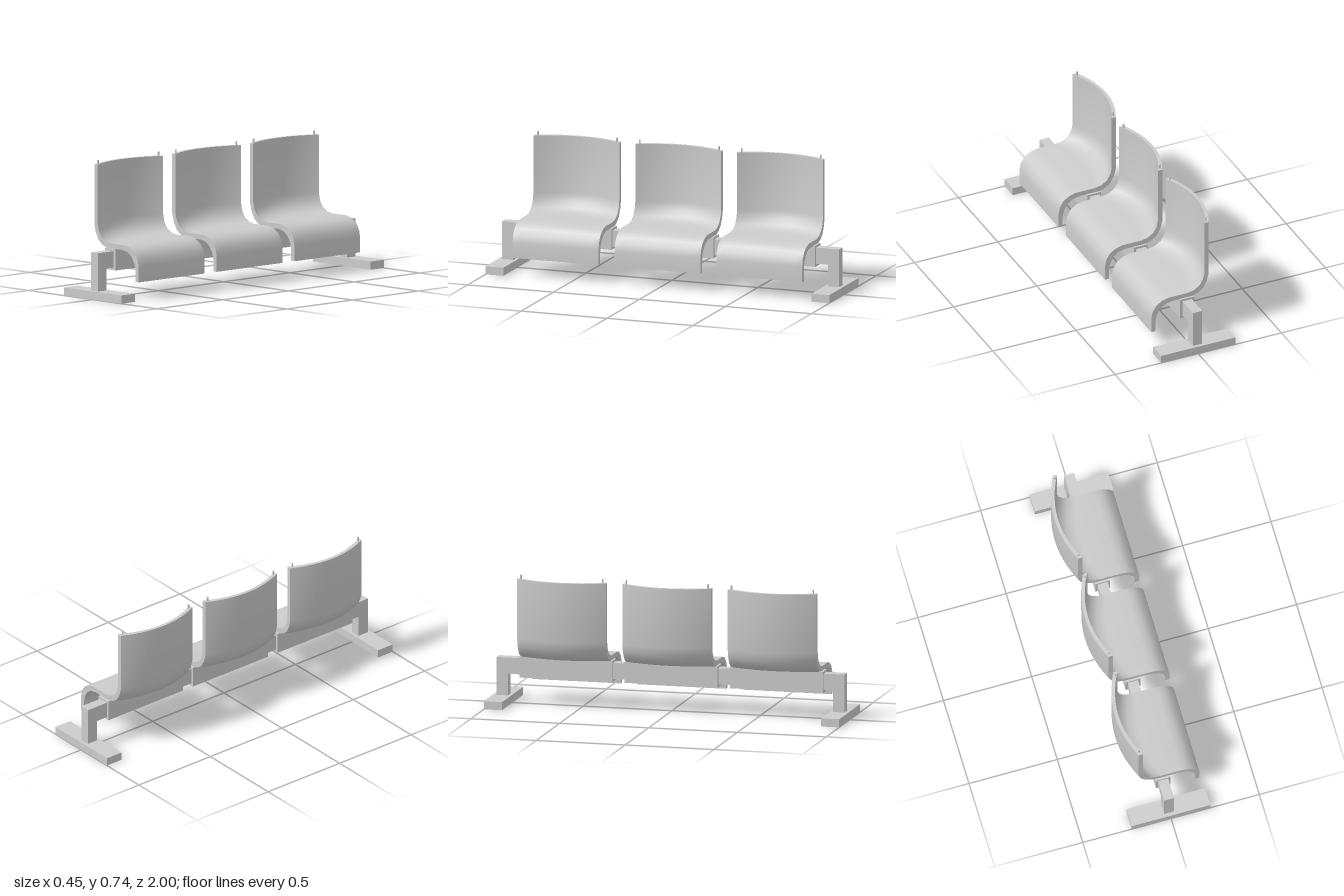
import * as THREE from 'three';
import { toCreasedNormals } from 'three/addons/utils/BufferGeometryUtils.js';

const material = new THREE.MeshStandardMaterial({ color: 0xcccccc });

// Seat shell side profile [x, y] from the top of the back to the front lip
const UPPER = [[-0.115, 0.715], [-0.115, 0.395], [-0.106, 0.355], [-0.085, 0.322], [-0.05, 0.3], [-0.01, 0.293],
  [0.1, 0.293], [0.14, 0.283], [0.175, 0.26], [0.197, 0.225], [0.205, 0.185], [0.205, 0.1]];
const LOWER = [[-0.14, 0.715], [-0.14, 0.385], [-0.128, 0.34], [-0.105, 0.3], [-0.075, 0.278], [-0.04, 0.266],
  [0.08, 0.266], [0.12, 0.257], [0.15, 0.235], [0.172, 0.2], [0.18, 0.16], [0.18, 0.1]];
// How strongly each profile point bows backwards in the middle of the seat
const BOW = [1, 1, 1, 1, 0.95, 0.8, 0, 0, 0, 0, 0, 0];
const HALF = 0.25;

function shellPoint(side, i, z) {
  const [x, y] = side[i];
  const depth = side === UPPER ? 0.067 : 0.06;
  return new THREE.Vector3(x - depth * BOW[i] * (1 - (z / HALF) ** 2), y, z);
}

// Closed shell: profile loops swept across the width, capped at both sides
function shellGeometry() {
  const n = UPPER.length, ring = 2 * n, slices = 12;
  const pos = [], idx = [];
  for (let s = 0; s <= slices; s++) {
    const z = -HALF + (2 * HALF * s) / slices;
    for (let i = 0; i < n; i++) pos.push(...shellPoint(UPPER, i, z).toArray());
    for (let i = n - 1; i >= 0; i--) pos.push(...shellPoint(LOWER, i, z).toArray());
  }
  for (let s = 0; s < slices; s++) {
    for (let i = 0; i < ring; i++) {
      const j = (i + 1) % ring, a = s * ring, b = a + ring;
      idx.push(a + i, b + i, b + j, a + i, b + j, a + j);
    }
  }
  const e = slices * ring;
  for (let i = 0; i < n - 1; i++) {
    const u = i, v = i + 1, lu = ring - 1 - i, lv = ring - 2 - i;
    idx.push(e + u, e + lu, e + lv, e + u, e + lv, e + v);
    idx.push(u, lv, lu, u, v, lv);
  }
  const g = new THREE.BufferGeometry();
  g.setAttribute('position', new THREE.Float32BufferAttribute(pos, 3));
  g.setIndex(idx);
  return toCreasedNormals(g, 0.7);
}

// Edge rod that follows the shell, with a pin standing out at the top
function rodGeometry(z) {
  const n = UPPER.length;
  const path = UPPER.map((_, i) =>
    shellPoint(UPPER, i, z).lerp(shellPoint(LOWER, i, z), 0.3 + (0.65 * i) / (n - 1)));
  path[n - 1].y = 0.113;
  path.unshift(path[0].clone().setY(0.738));
  const curve = new THREE.CatmullRomCurve3(path, false, 'centripetal');
  return new THREE.TubeGeometry(curve, 60, 0.005, 6);
}

function add(parent, name, geometry) {
  const mesh = new THREE.Mesh(geometry, material);
  mesh.name = name;
  parent.add(mesh);
  return mesh;
}

// Box given by its limits on each axis
function box(parent, name, [x0, x1], [y0, y1], [z0, z1]) {
  const mesh = add(parent, name, new THREE.BoxGeometry(x1 - x0, y1 - y0, z1 - z0));
  mesh.position.set((x0 + x1) / 2, (y0 + y1) / 2, (z0 + z1) / 2);
}

// Small disc that closes a rod's top pin
function pinCap(parent, z) {
  const p = shellPoint(UPPER, 0, z).lerp(shellPoint(LOWER, 0, z), 0.3);
  const cap = add(parent, 'pinCap', new THREE.CylinderGeometry(0.005, 0.005, 0.004, 6));
  cap.position.set(p.x, 0.736, z);
}

export function createModel() {
  const bench = new THREE.Group();
  bench.name = 'seatingBench';

  // Three seats, each on its own beam sleeve
  const shell = shellGeometry();
  for (const z of [-0.585, 0.007, 0.6]) {
    const seat = new THREE.Group();
    seat.name = 'seat';
    seat.position.z = z;
    add(seat, 'seatShell', shell);
    for (const side of [-0.23, 0.23]) {
      add(seat, 'edgeRod', rodGeometry(side));
      pinCap(seat, side);
    }
    box(seat, 'frontRod', [0.176, 0.186], [0.108, 0.118], [-0.23, 0.23]);
    box(seat, 'beamSleeve', [-0.046, 0.037], [0.15, 0.267], [-0.262, 0.262]);
    bench.add(seat);
  }

  // Beam carrying the seats
  box(bench, 'beam', [-0.033, 0.023], [0.165, 0.255], [-0.98, 0.98]);

  // Legs and feet at both ends
  for (const s of [-1, 1]) {
    const span = (a, b) => (s > 0 ? [a, b] : [-b, -a]);
    box(bench, 'leg', [-0.033, 0.023], [0.045, 0.165], span(0.915, 0.98));
    box(bench, 'foot', [-0.223, 0.223], [0, 0.045], span(0.897, 1));
  }
  return bench;
}
